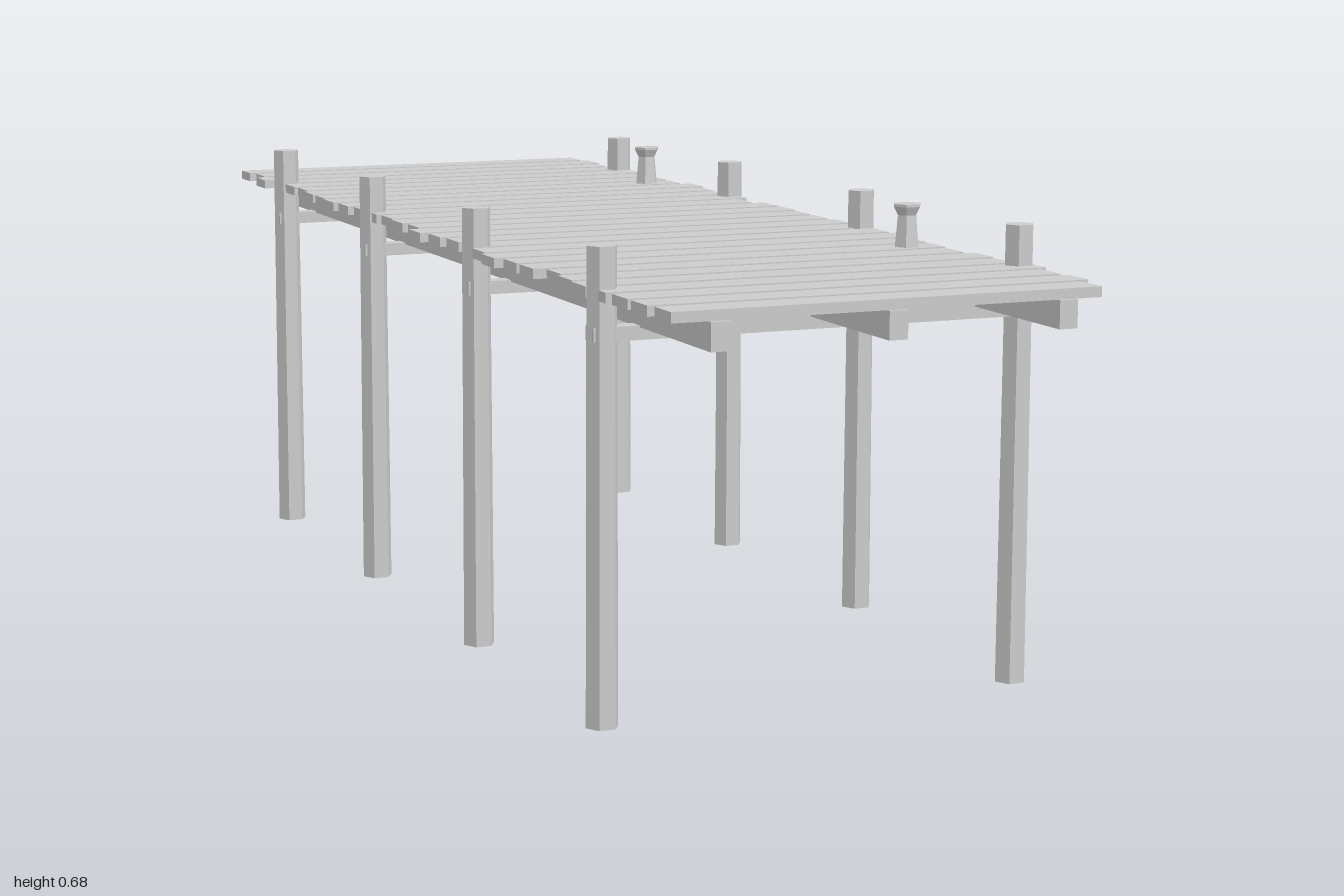
import * as THREE from 'three';

const material = new THREE.MeshStandardMaterial({ color: 0xcccccc, flatShading: true });

// Left and right overhang of each plank from back to front, in thousandths
const OVERHANGS = [
  [339, 323], [330, 333], [349, 323], [333, 333], [333, 337], [330, 317],
  [339, 330], [339, 328], [344, 344], [339, 333], [333, 328], [333, 337],
  [328, 315], [333, 333], [328, 333], [349, 328], [339, 328], [333, 333],
  [328, 320], [339, 335], [349, 339], [339, 328], [339, 326], [323, 320],
  [333, 333], [339, 328], [337, 344], [333, 328], [333, 333], [328, 315],
];

export function createModel() {
  const model = new THREE.Group();

  const add = (name, geometry, x, y, z) => {
    const mesh = new THREE.Mesh(geometry, material);
    mesh.name = name;
    mesh.position.set(x, y, z);
    model.add(mesh);
  };

  // Deck planks with uneven ends
  const pitch = 2 / OVERHANGS.length;
  OVERHANGS.forEach(([left, right], i) => {
    const x0 = -left / 1000, x1 = right / 1000;
    add('plank', new THREE.BoxGeometry(x1 - x0, 0.015, 0.054), (x0 + x1) / 2, 0.6095, -1 + pitch * (i + 0.5));
  });

  // Long beams under the deck
  const beam = new THREE.BoxGeometry(0.028, 0.04, 2);
  for (const x of [-0.26, 0, 0.26]) add('deckBeam', beam, x, 0.582, 0);

  // Six-sided tapered posts in pairs, each pair joined by a crossbeam
  const post = new THREE.CylinderGeometry(0.0225, 0.0245, 0.676, 6).rotateY(Math.PI / 6);
  const cross = new THREE.BoxGeometry(0.685, 0.02, 0.028);
  for (const z of [-0.75, -0.25, 0.25, 0.75]) {
    for (const side of [-1, 1]) add('post', post, side * 0.3245, 0.338, z);
    add('crossbeam', cross, 0, 0.5545, z);
  }

  // Mooring bollards: tapered shaft with a flared cap
  const shaft = new THREE.CylinderGeometry(0.0155, 0.02, 0.048, 6).rotateY(Math.PI / 6);
  const flare = new THREE.CylinderGeometry(0.0225, 0.0155, 0.013, 6).rotateY(Math.PI / 6);
  const rim = new THREE.CylinderGeometry(0.0225, 0.0225, 0.004, 6).rotateY(Math.PI / 6);
  for (const z of [-0.5, 0.5]) {
    add('bollardShaft', shaft, 0.2745, 0.641, z);
    add('bollardFlare', flare, 0.2745, 0.6715, z);
    add('bollardRim', rim, 0.2745, 0.68, z);
  }

  return model;
}
